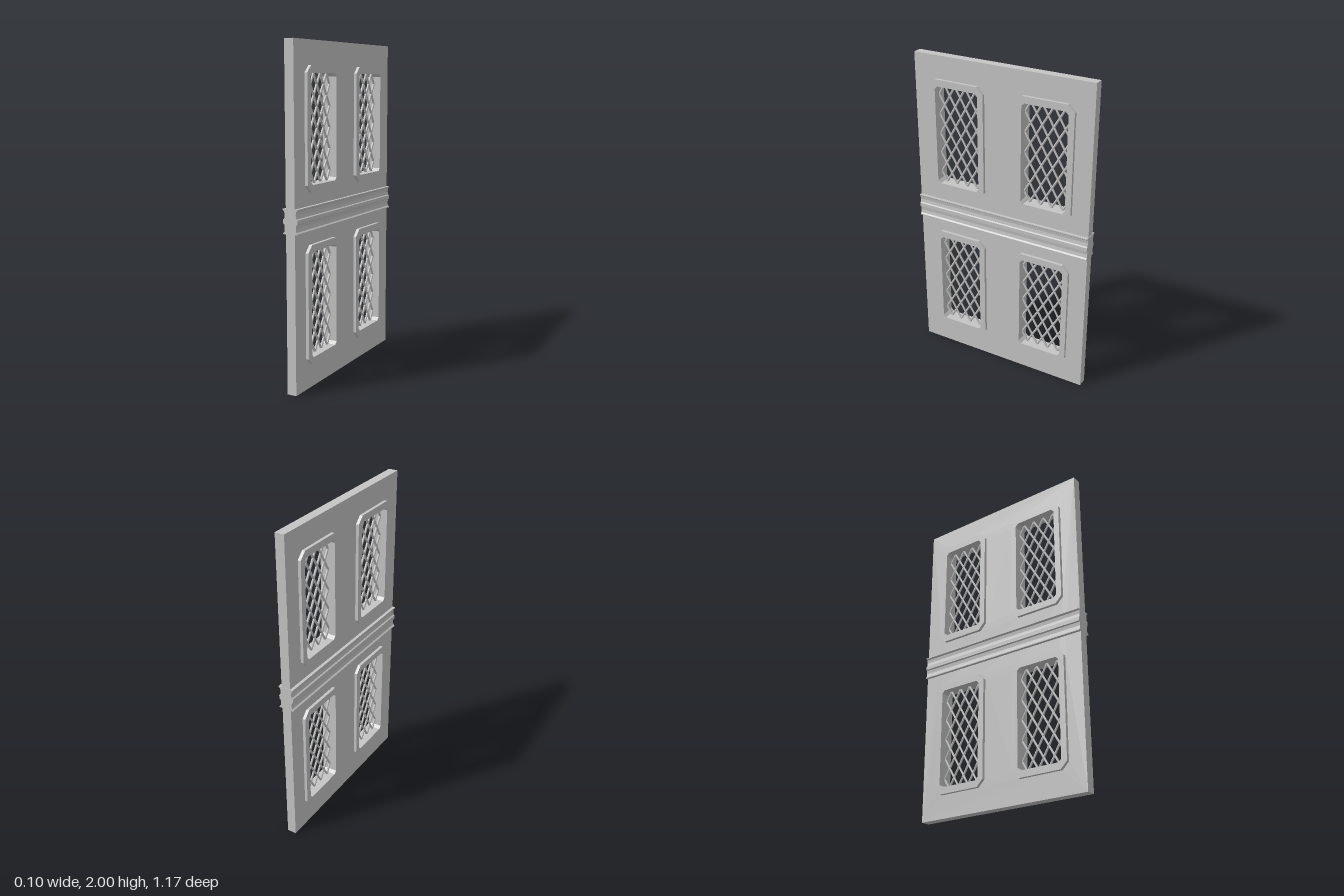
import * as THREE from 'three';

const SLAB_T = 0.058, FRAME_T = 0.096, HALF_W = 0.585;
const OUTER = [0.183, 0.354, 0.042], INNER = [0.146, 0.312, 0.018];
const WINDOWS = [[0.291, 1.506], [-0.291, 1.506], [0.291, 0.497], [-0.291, 0.497]];

// Rectangle with cut corners, centred on (cx, cy)
function octagon([w, h, c], cx = 0, cy = 0) {
  return [[w, c - h], [w, h - c], [w - c, h], [c - w, h], [-w, h - c], [-w, c - h], [c - w, -h], [w - c, -h]]
    .map(([x, y]) => new THREE.Vector2(cx + x, cy + y));
}

// Extrudes a shape drawn in (z, y) across the thickness x
function plate(shape, depth) {
  return new THREE.ExtrudeGeometry(shape, { depth, bevelEnabled: false })
    .translate(0, 0, -depth / 2).rotateY(-Math.PI / 2);
}

export function createModel() {
  const group = new THREE.Group();
  group.name = 'doorPanel';
  const grey = new THREE.MeshStandardMaterial({ color: 0xc4c4c4 });
  grey.name = 'paintedGrey';
  const add = (parent, geometry, name) => {
    const mesh = new THREE.Mesh(geometry, grey);
    mesh.name = name;
    parent.add(mesh);
    return mesh;
  };

  // Slab with four window openings
  const slab = new THREE.Shape([[-HALF_W, 0], [HALF_W, 0], [HALF_W, 2], [-HALF_W, 2]]
    .map(([x, y]) => new THREE.Vector2(x, y)));
  for (const [z, y] of WINDOWS) slab.holes.push(new THREE.Path(octagon(OUTER, z, y)));
  add(group, plate(slab, SLAB_T), 'slab');

  // Frame ring and lattice bar shared by all windows
  const ring = new THREE.Shape(octagon(OUTER));
  ring.holes.push(new THREE.Path(octagon(INNER)));
  const frameGeometry = plate(ring, FRAME_T);
  const barGeometry = new THREE.CylinderGeometry(0.007, 0.007, 1, 6, 1, true);
  const [w, h] = INNER, step = 0.073, slope = 1.71;

  for (const [z, y] of WINDOWS) {
    const window = new THREE.Group();
    window.name = 'window';
    window.position.set(0, y, z);
    group.add(window);
    add(window, frameGeometry, 'windowFrame');

    // Crossing diagonal bars, each clipped to the opening
    for (const side of [-1, 1]) {
      for (let k = -5; k <= 5; k++) {
        const c = k * step;
        const y0 = Math.max(-h, (-w - c) * slope), y1 = Math.min(h, (w - c) * slope);
        if (y1 - y0 < 0.03) continue;
        const a = new THREE.Vector3(0, y0, side * (c + y0 / slope));
        const b = new THREE.Vector3(0, y1, side * (c + y1 / slope));
        const bar = add(window, barGeometry, 'latticeBar');
        bar.position.copy(a).add(b).multiplyScalar(0.5);
        bar.scale.y = a.distanceTo(b) + 0.008;
        bar.quaternion.setFromUnitVectors(new THREE.Vector3(0, 1, 0), b.sub(a).normalize());
      }
    }
  }

  // Moulded middle rail with two grooves on each face
  const half = [[0.048, 0.932], [0.048, 0.938], [0.039, 0.945], [0.036, 0.966], [0.039, 0.987],
    [0.047, 0.992], [0.047, 1.015], [0.039, 1.02], [0.036, 1.041], [0.039, 1.062], [0.048, 1.069], [0.048, 1.075]];
  const profile = [...half, ...half.map(([x, y]) => [-x, y]).reverse()].map(([x, y]) => new THREE.Vector2(x, y));
  const length = HALF_W * 2 + 0.004;
  add(group, new THREE.ExtrudeGeometry(new THREE.Shape(profile), { depth: length, bevelEnabled: false })
    .translate(0, 0, -length / 2), 'middleRail');

  return group;
}
